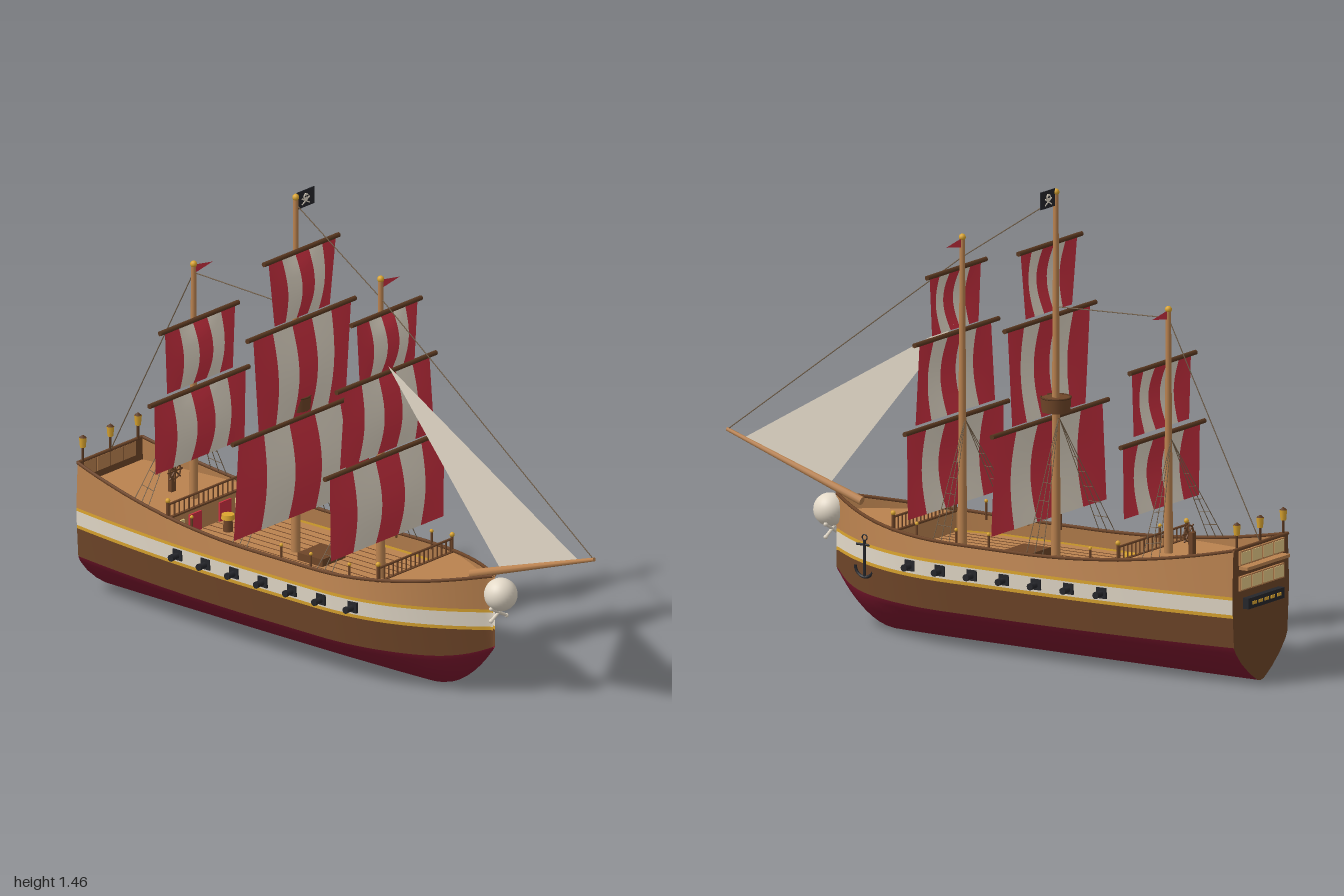
import * as THREE from 'three';

const mat = (name, color) => {
  const m = new THREE.MeshStandardMaterial({ color, side: THREE.DoubleSide });
  m.name = name;
  return m;
};
const V = (x, y, z) => new THREE.Vector3(x, y, z);

export function createModel() {
  const ship = new THREE.Group();
  ship.name = 'sailingShip';
  const tan = mat('tanWood', 0xba824f), brown = mat('hullBrown', 0x6e4528), dark = mat('darkWood', 0x5a3820);
  const keelRed = mat('keelRed', 0x7c172e), cream = mat('cream', 0xe3d9c8), red = mat('sailRed', 0xcb3040);
  const gold = mat('gold', 0xdba52f), black = mat('black', 0x25262b), rope = mat('rope', 0x75614a);
  const glass = mat('windowGlow', 0xe6c987);

  const add = (name, geo, m, pos = [0, 0, 0], rot = [0, 0, 0]) => {
    const mesh = new THREE.Mesh(geo, m);
    mesh.name = name;
    mesh.position.set(...pos);
    mesh.rotation.set(...rot);
    ship.add(mesh);
    return mesh;
  };
  const box = (name, m, size, pos, rot) => add(name, new THREE.BoxGeometry(...size), m, pos, rot);
  // Round bar between two points, optionally tapered
  const rod = (name, m, a, b, r, r2 = r, sides = 8) => {
    const d = b.clone().sub(a);
    const mesh = add(name, new THREE.CylinderGeometry(r2, r, d.length(), sides), m);
    mesh.position.copy(a).addScaledVector(d, 0.5);
    mesh.quaternion.setFromUnitVectors(V(0, 1, 0), d.normalize());
  };
  // Surface through rows of points
  const loft = (name, rows, m) => {
    const n = rows[0].length, idx = [];
    for (let i = 0; i < rows.length - 1; i++) for (let j = 0; j < n - 1; j++) {
      const a = i * n + j, b = a + n;
      idx.push(a, b, a + 1, b, b + 1, a + 1);
    }
    const g = new THREE.BufferGeometry().setFromPoints(rows.flat());
    g.setIndex(idx);
    g.computeVertexNormals();
    add(name, g, m);
  };

  // Hull rules: half width, sheer line, keel and waterline along z
  const BOW = 0.59, STERN = -0.97;
  const width = z => Math.max(0.005, z > 0.05
    ? 0.21 * (1 - ((z - 0.05) / 0.54) ** 2.16)
    : 0.21 * (1 - 0.26 * (Math.max(0, -z - 0.2) / 0.77) ** 2));
  const rim = z => 0.345 + 0.09 * (Math.max(0, -z - 0.2) / 0.77) ** 2 + 0.055 * (Math.max(0, z) / BOW) ** 2;
  const rise = z => Math.max(0, (z - 0.36) / 0.23);
  const keel = z => 0.16 * rise(z) ** 2;
  const water = z => 0.127 + 0.04 * rise(z) ** 3;
  const level = (k, f) => ({ y: z => keel(z) + (water(z) - keel(z)) * k, f });
  const flat = (y, f) => ({ y: () => y, f });
  const levels = [level(0, 0), level(0.03, 0.12), level(0.25, 0.4), level(0.55, 0.69), level(0.85, 0.9), level(1, 0.96),
    flat(0.221, 1.0), flat(0.232, 1.005), flat(0.279, 1.02), flat(0.289, 1.02), { y: rim, f: 0.98 }];
  const zs = Array.from({ length: 41 }, (_, i) => STERN + (BOW - STERN) * (1 - (1 - i / 40) ** 1.4));
  const hullPoint = (l, z, s) => V(s * width(z) * l.f, l.y(z), z);
  const bands = [['bottom', 0, 5, keelRed], ['lowerHull', 5, 6, brown], ['lowerTrim', 6, 7, gold],
    ['paintedBand', 7, 8, cream], ['upperTrim', 8, 9, gold], ['bulwark', 9, 10, tan]];
  for (const s of [1, -1]) {
    for (const [name, a, b, m] of bands) {
      const rows = levels.slice(a, b + 1).map(l => zs.map(z => hullPoint(l, z, s)));
      loft(name, s > 0 ? rows.reverse() : rows, m);
    }
    const curve = new THREE.CatmullRomCurve3(zs.map(z => hullPoint(levels[10], z, s)));
    add('capRail', new THREE.TubeGeometry(curve, 60, 0.0055, 6), brown);
  }
  loft('transom', levels.map(l => [hullPoint(l, STERN, 1), hullPoint(l, STERN, -1)]), brown);
  rod('sternRail', brown, V(-0.152, 0.435, STERN), V(0.152, 0.435, STERN), 0.0055);

  // Level decks, bulkheads and plank seams
  const MAIN = 0.285, FORE = 0.35, QUARTER = 0.36;
  const deck = (name, z0, z1, y) => loft(name, [-1, 1].map(s => Array.from({ length: 17 }, (_, i) => {
    const z = z0 + (z1 - z0) * i / 16;
    return V(s * width(z) * 0.985, y, z);
  })), tan);
  deck('mainDeck', -0.57, 0.27, MAIN);
  deck('foreDeck', 0.27, BOW, FORE);
  deck('quarterDeck', STERN, -0.57, QUARTER);
  for (const [z, y] of [[0.27, FORE], [-0.57, QUARTER]]) {
    const w = width(z) * 0.97;
    box('bulkhead', tan, [2 * w, y - MAIN, 0.008], [0, (y + MAIN) / 2, z]);
    box('deckEdge', brown, [2 * w, 0.006, 0.01], [0, y, z]);
    for (let i = -8; i <= 8; i++) rod('baluster', brown, V(i * w / 8.4, y, z), V(i * w / 8.4, y + 0.045, z), 0.0025);
    rod('deckRail', brown, V(-w, y + 0.045, z), V(w, y + 0.045, z), 0.004);
    for (const s of [1, -1]) {
      rod('railPost', brown, V(s * w, y, z), V(s * w, y + 0.055, z), 0.005);
      add('postKnob', new THREE.SphereGeometry(0.008, 10, 8), gold, [s * w, y + 0.058, z]);
    }
  }
  for (let i = -5; i <= 5; i++) box('plankSeam', brown, [0.0015, 0.002, 0.83], [i * 0.033, MAIN + 0.0005, -0.15]);

  // Cabin front: pair of doors and windows
  for (const s of [1, -1]) {
    box('cabinDoor', red, [0.055, 0.062, 0.008], [s * 0.07, MAIN + 0.031, -0.564]);
    box('cabinWindow', glass, [0.04, 0.03, 0.008], [s * 0.14, MAIN + 0.04, -0.565]);
  }
  box('hatch', brown, [0.11, 0.025, 0.1], [0, MAIN + 0.012, -0.11]);
  rod('capstan', brown, V(0, MAIN, -0.49), V(0, MAIN + 0.04, -0.49), 0.016, 0.014, 12);
  rod('capstanCap', gold, V(0, MAIN + 0.04, -0.49), V(0, MAIN + 0.055, -0.49), 0.022, 0.02, 16);
  for (const s of [1, -1]) for (const z of [0.17, 0.02, -0.1, -0.47]) {
    rod('pinPost', brown, V(s * width(z) * 0.96, 0.33, z), V(s * width(z) * 0.96, 0.388, z), 0.004);
    add('pinKnob', new THREE.SphereGeometry(0.006, 8, 6), gold, [s * width(z) * 0.96, 0.39, z]);
  }

  // Steering wheel
  add('wheel', new THREE.TorusGeometry(0.025, 0.003, 6, 20), brown, [0, 0.43, -0.705]);
  for (let i = 0; i < 4; i++) box('wheelSpoke', brown, [0.07, 0.004, 0.004], [0, 0.43, -0.705], [0, 0, i * Math.PI / 4]);
  box('wheelStand', brown, [0.02, 0.075, 0.015], [0, 0.3975, -0.718]);

  // Guns along both sides
  for (const s of [1, -1]) for (let i = 0; i < 7; i++) {
    const z = 0.19 - i * 0.118, x = width(z) * 1.015;
    box('gunPort', black, [0.009, 0.034, 0.036], [s * x, 0.257, z]);
    rod('gunBarrel', black, V(s * (x - 0.01), 0.255, z), V(s * (x + 0.034), 0.255, z), 0.01, 0.008, 10);
    rod('gunMuzzle', black, V(s * (x + 0.026), 0.255, z), V(s * (x + 0.036), 0.255, z), 0.011, 0.011, 10);
  }

  // Stern gallery and lanterns
  for (const y of [0.405, 0.325]) {
    for (let i = 0; i < 4; i++) {
      box('windowFrame', tan, [0.059, 0.046, 0.008], [(i - 1.5) * 0.062, y, STERN - 0.003]);
      box('galleryWindow', glass, [0.05, 0.037, 0.006], [(i - 1.5) * 0.062, y, STERN - 0.006]);
    }
  }
  box('galleryLedge', tan, [0.24, 0.01, 0.03], [0, 0.374, STERN - 0.015]);
  box('sternBoard', black, [0.2, 0.034, 0.022], [0, 0.26, STERN - 0.011]);
  for (let i = -2; i <= 2; i++) box('sternBoardStud', gold, [0.022, 0.01, 0.004], [i * 0.034, 0.26, STERN - 0.022]);
  for (const x of [-0.13, 0, 0.13]) {
    rod('lanternPost', dark, V(x, 0.43, -0.968), V(x, 0.482, -0.968), 0.004);
    rod('lantern', gold, V(x, 0.48, -0.968), V(x, 0.512, -0.968), 0.009, 0.012);
    rod('lanternCap', dark, V(x, 0.512, -0.968), V(x, 0.52, -0.968), 0.012, 0.002);
  }

  // Masts with yards, striped sails, shrouds: yard entries are [y, yard half, sail top half, sail foot half, foot y]
  const masts = [
    { z: 0.13, top: 1.265, shroud: 0.69, yards: [[0.69, 0.29, 0.27, 0.265, 0.42], [0.96, 0.235, 0.2, 0.222, 0.71], [1.16, 0.165, 0.143, 0.13, 0.975]] },
    { z: -0.215, top: 1.45, shroud: 0.74, yards: [[0.73, 0.325, 0.3, 0.322, 0.42], [1.05, 0.255, 0.23, 0.205, 0.745], [1.28, 0.177, 0.158, 0.13, 1.07]] },
    { z: -0.63, top: 1.13, shroud: 0.72, yards: [[0.73, 0.235, 0.215, 0.21, 0.505], [0.955, 0.185, 0.165, 0.155, 0.755]] },
  ];
  const sail = (z, [y, , top, foot, low]) => {
    for (let k = 0; k < 5; k++) {
      const rows = Array.from({ length: 11 }, (_, j) => Array.from({ length: 4 }, (_, i) => {
        const v = j / 10, u = -1 + (k + i / 3) * 0.4;
        return V(u * (top + (foot - top) * v), y - 0.005 + (low - y) * v,
          z + 0.028 * Math.sin(Math.PI * v) * (1 - u * u));
      }));
      loft('sailStripe', rows, k % 2 ? cream : red);
    }
  };
  for (const { z, top, shroud, yards } of masts) {
    rod('mast', tan, V(0, MAIN, z), V(0, top, z), 0.015, 0.008, 12);
    add('mastKnob', new THREE.SphereGeometry(0.011, 12, 8), gold, [0, top - 0.003, z]);
    for (const yard of yards) {
      rod('yard', dark, V(-yard[1], yard[0], z + 0.022), V(yard[1], yard[0], z + 0.022), 0.008);
      sail(z + 0.026, yard);
    }
    for (const s of [1, -1]) {
      const head = V(0, shroud, z - 0.01);
      const feet = [0, 1, 2].map(i => {
        const fz = z - 0.025 - i * 0.03;
        return V(s * width(fz) * 0.97, rim(fz), fz);
      });
      feet.forEach(f => rod('shroud', rope, f, head, 0.0013, 0.0013, 5));
      for (let i = 1; i < 6; i++) {
        rod('ratline', rope, feet[0].clone().lerp(head, i * 0.13), feet[2].clone().lerp(head, i * 0.13), 0.0011, 0.0011, 5);
      }
    }
  }

  // Lookout on the main mast
  rod('crowsNest', brown, V(0, 0.755, -0.215), V(0, 0.8, -0.215), 0.045, 0.048, 18);
  add('crowsNestRim', new THREE.TorusGeometry(0.047, 0.003, 6, 20), dark, [0, 0.8, -0.215], [Math.PI / 2, 0, 0]);

  // Bowsprit, jib and stays
  rod('bowsprit', tan, V(0, 0.385, 0.5), V(0, 0.552, 0.998), 0.014, 0.006, 10);
  loft('jib', [[V(0, 0.535, 0.93), V(0, 0.43, 0.615)], [V(0, 0.985, 0.16), V(0, 0.984, 0.16)]], cream);
  const stays = [[0.552, 0.995, 1.2, 0.13], [1.2, 0.13, 1.425, -0.215], [1.085, -0.215, 1.1, -0.63], [1.1, -0.63, 0.44, -0.965]];
  for (const [y0, z0, y1, z1] of stays) rod('stay', rope, V(0, y0, z0), V(0, y1, z1), 0.0018, 0.0018, 5);

  // Flag and pennants
  box('flag', black, [0.08, 0.055, 0.003], [0.046, 1.432, -0.215]);
  rod('flagSkull', cream, V(0.045, 1.438, -0.219), V(0.045, 1.438, -0.211), 0.011, 0.011, 14);
  for (const s of [1, -1]) {
    box('flagBone', cream, [0.042, 0.004, 0.006], [0.045, 1.424, -0.215], [0, 0, s * 0.5]);
    box('flagEye', black, [0.005, 0.005, 0.009], [0.045 + s * 0.004, 1.439, -0.215]);
  }
  for (const [y, z] of [[1.245, 0.13], [1.11, -0.63]]) {
    const tri = new THREE.Shape([[0.006, -0.014], [0.09, 0], [0.006, 0.014]].map(p => new THREE.Vector2(...p)));
    add('pennant', new THREE.ShapeGeometry(tri), red, [0, y, z]);
  }

  // Figurehead: ball over crossed bones
  add('figurehead', new THREE.SphereGeometry(0.052, 28, 20), cream, [0, 0.345, 0.618]);
  for (const s of [1, -1]) {
    rod('figureheadBone', cream, V(-0.036, 0.285 - s * 0.02, 0.61), V(0.036, 0.285 + s * 0.02, 0.61), 0.005);
    for (const e of [1, -1]) add('boneEnd', new THREE.SphereGeometry(0.007, 8, 6), cream, [e * 0.036, 0.285 + s * e * 0.02, 0.61]);
  }

  // Anchor hung on the left bow
  rod('anchorShank', black, V(0.137, 0.185, 0.4), V(0.137, 0.3, 0.4), 0.005);
  rod('anchorStock', black, V(0.137, 0.285, 0.37), V(0.137, 0.285, 0.43), 0.004);
  add('anchorRing', new THREE.TorusGeometry(0.009, 0.002, 6, 14), black, [0.137, 0.308, 0.4], [0, Math.PI / 2, 0]);
  add('anchorArms', new THREE.TorusGeometry(0.034, 0.005, 6, 16, Math.PI), black, [0.137, 0.217, 0.4], [Math.PI, Math.PI / 2, 0]);

  return ship;
}
